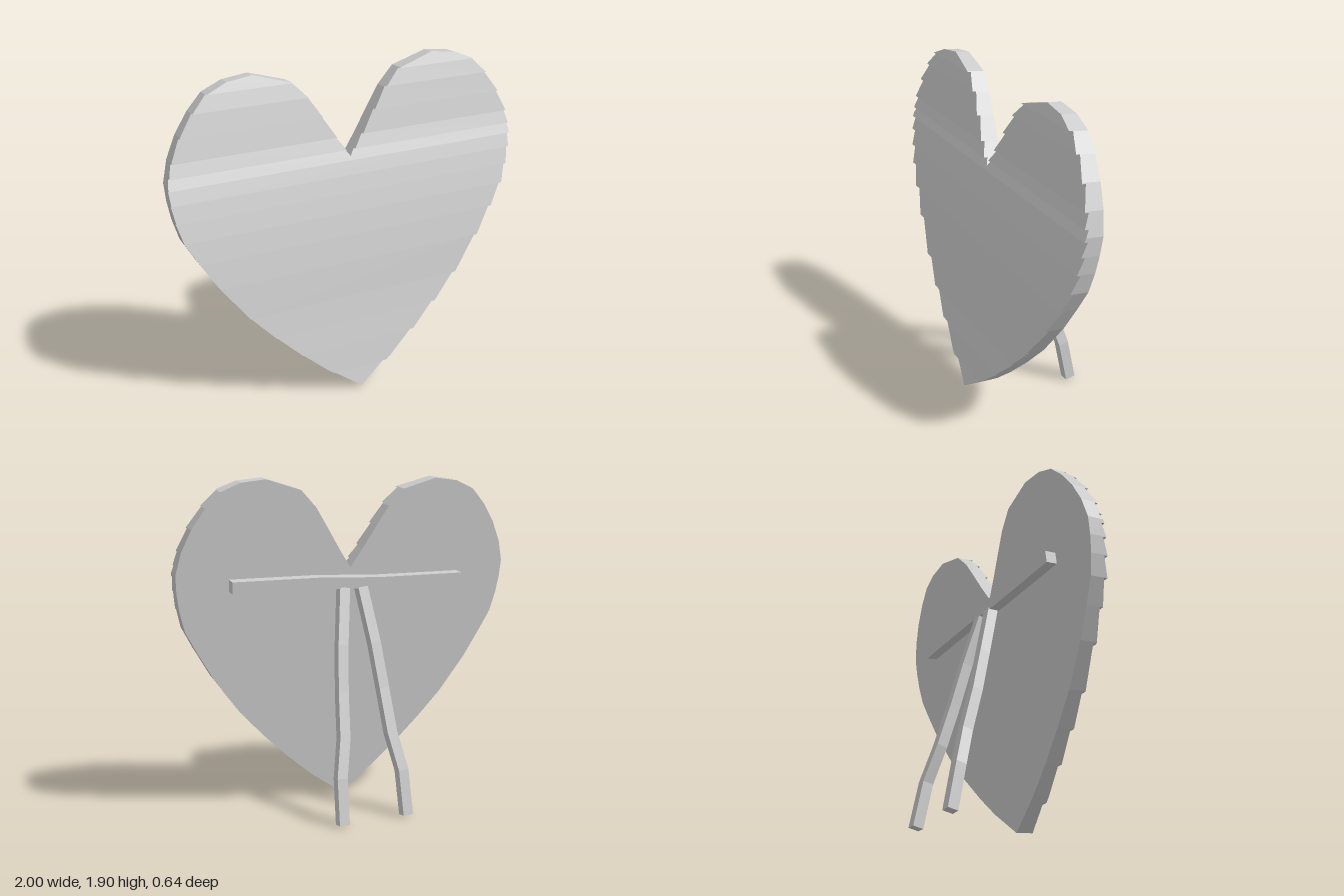
import * as THREE from 'three';

const material = new THREE.MeshStandardMaterial({ color: 0xcccccc, flatShading: true });
const TILT = 0.116;

// Half of the heart outline as [x, y], both curves running upwards
const outer = [[0, 0], [0.2, 0.15], [0.34, 0.275], [0.5, 0.435], [0.64, 0.59], [0.79, 0.8],
  [0.88, 0.955], [0.95, 1.085], [0.98, 1.2], [0.995, 1.3], [1, 1.4], [0.97, 1.52],
  [0.915, 1.64], [0.84, 1.75], [0.76, 1.835], [0.65, 1.883], [0.51, 1.9]];
const inner = [[0, 1.4], [0.07, 1.505], [0.15, 1.635], [0.22, 1.745], [0.31, 1.84], [0.51, 1.9]];
const NOTCH = 1.4, TOP = 1.9;

// Heights where one shingle ends and the next begins
const rows = [0, 0.125, 0.285, 0.432, 0.587, 0.793, 0.955, 1.086, 1.197, 1.297, 1.378,
  1.438, 1.514, 1.635, 1.75, 1.836, TOP];

// Part of a rising curve between two heights
function slice(curve, lo, hi) {
  const at = (y) => {
    let i = 1;
    while (i < curve.length - 1 && curve[i][1] < y) i++;
    const [x0, y0] = curve[i - 1], [x1, y1] = curve[i];
    return [x0 + (x1 - x0) * (y - y0) / (y1 - y0), y];
  };
  const mid = curve.filter(([, y]) => y > lo + 1e-4 && y < hi - 1e-4);
  return [at(lo), ...mid, at(hi)];
}

// Shingle piece: flat back, front tapering from a thick lower edge to a thin upper edge
function shingle(right, left, a, b) {
  const loop = [...right, ...left.slice().reverse()];
  const points = loop.filter(([x, y], i) => {
    const [px, py] = loop[(i + loop.length - 1) % loop.length];
    return Math.hypot(x - px, y - py) > 1e-4;
  }).map(([x, y]) => new THREE.Vector2(x, y));
  const geo = new THREE.ExtrudeGeometry(new THREE.Shape(points), { depth: 1, bevelEnabled: false });
  const p = geo.attributes.position;
  for (let i = 0; i < p.count; i++) {
    if (p.getZ(i) > 0.5) p.setZ(i, THREE.MathUtils.lerp(0.103, 0.082, (p.getY(i) - a) / (b - a)));
  }
  geo.computeVertexNormals();
  const mesh = new THREE.Mesh(geo, material);
  mesh.name = 'shingle';
  return mesh;
}

// Square timber swept along a bent path
function beam(name, path, width, depth, hint) {
  const pts = path.map((p) => new THREE.Vector3(...p));
  const pos = [], index = [];
  pts.forEach((p, i) => {
    const t = pts[Math.min(i + 1, pts.length - 1)].clone().sub(pts[Math.max(i - 1, 0)]).normalize();
    const u = hint.clone().addScaledVector(t, -hint.dot(t)).normalize();
    const v = t.clone().cross(u);
    for (const [a, b] of [[1, 1], [-1, 1], [-1, -1], [1, -1]]) {
      const c = p.clone().addScaledVector(u, a * width / 2).addScaledVector(v, b * depth / 2);
      pos.push(c.x, c.y, c.z);
    }
    if (i === 0) return;
    for (let j = 0; j < 4; j++) {
      const k = (j + 1) % 4, lo = (i - 1) * 4, hi = i * 4;
      index.push(lo + j, lo + k, hi + k, lo + j, hi + k, hi + j);
    }
  });
  const e = (pts.length - 1) * 4;
  index.push(0, 2, 1, 0, 3, 2, e, e + 1, e + 2, e, e + 2, e + 3);
  const indexed = new THREE.BufferGeometry();
  indexed.setAttribute('position', new THREE.Float32BufferAttribute(pos, 3));
  indexed.setIndex(index);
  const geo = indexed.toNonIndexed();
  geo.computeVertexNormals();
  const mesh = new THREE.Mesh(geo, material);
  mesh.name = name;
  return mesh;
}

export function createModel() {
  const model = new THREE.Group();
  model.name = 'heartStand';

  // Leaning heart panel made of overlapping shingles
  const panel = new THREE.Group();
  panel.name = 'heartPanel';
  const mirror = (pts) => pts.map(([x, y]) => [-x, y]);
  for (let i = 0; i < rows.length - 1; i++) {
    const a = rows[i], b = rows[i + 1];
    if (a < NOTCH) {
      const side = slice(outer, a, Math.min(b, NOTCH));
      panel.add(shingle(side, mirror(side), a, b));
    }
    if (b > NOTCH) {
      const lo = Math.max(a, NOTCH);
      const out = slice(outer, lo, b), inn = slice(inner, lo, b);
      panel.add(shingle(out, inn, a, b), shingle(mirror(inn), mirror(out), a, b));
    }
  }

  // Slightly crooked crossbar on the back
  panel.add(beam('crossbar', [[-0.69, 1.317, -0.032], [-0.15, 1.317, -0.032],
    [0.2, 1.333, -0.032], [0.71, 1.333, -0.032]], 0.066, 0.066, new THREE.Vector3(0, 1, 0)));
  panel.rotation.x = -TILT;
  panel.position.set(0, 0.003, 0.217);
  model.add(panel);

  // Pair of bent rear legs
  for (const s of [1, -1]) {
    const path = [[0.055, 1.28, 0.03], [0.1, 0.97, -0.05], [0.125, 0.72, -0.11],
      [0.145, 0.47, -0.18], [0.188, 0.26, -0.24], [0.196, 0.007, -0.289]];
    model.add(beam(s > 0 ? 'leftLeg' : 'rightLeg', path.map(([x, y, z]) => [s * x, y, z]),
      0.06, 0.06, new THREE.Vector3(1, 0, 0)));
  }
  return model;
}
